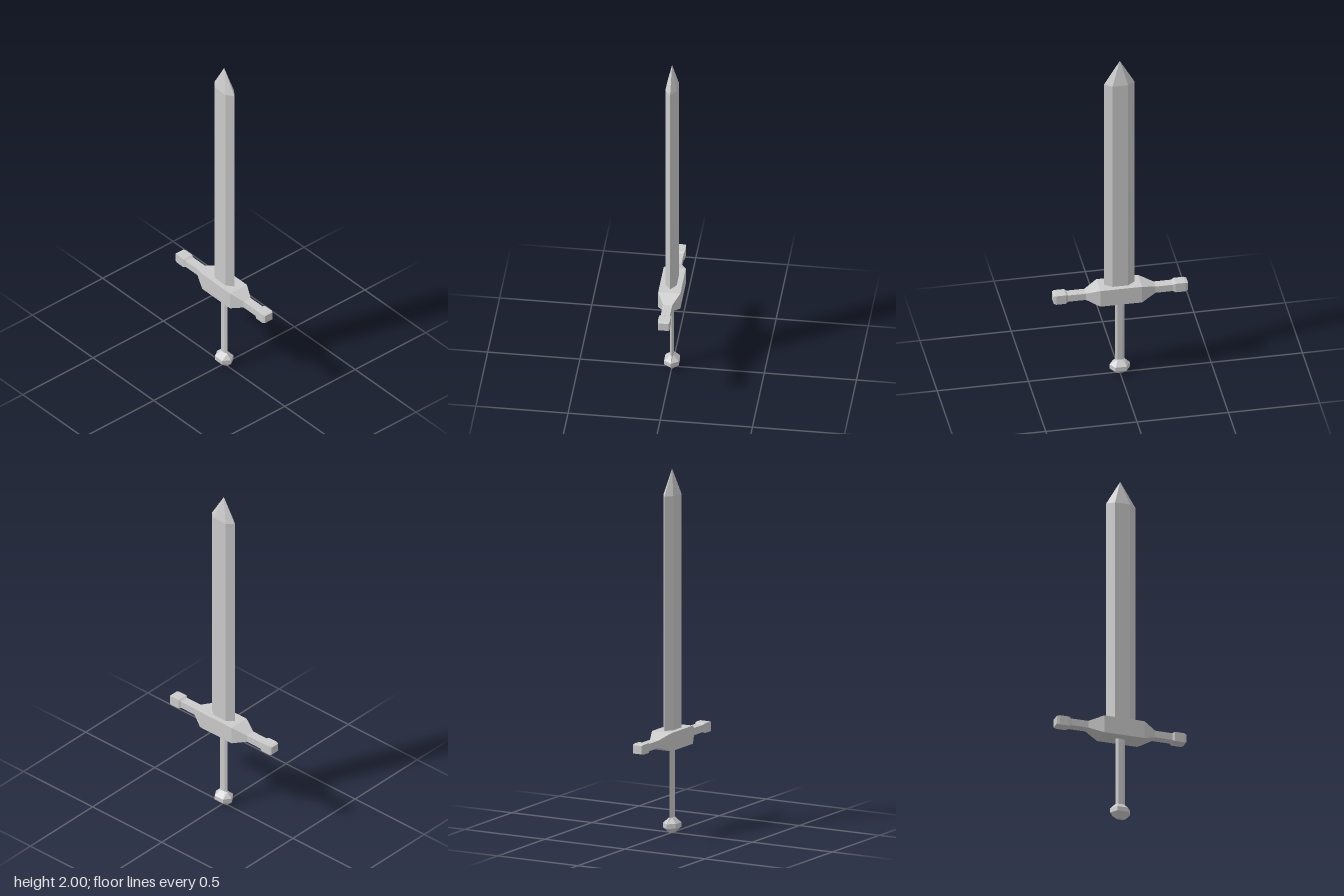
import * as THREE from 'three';

const material = new THREE.MeshStandardMaterial({ color: 0xcccccc, flatShading: true });

// Skins a list of equal-length rings (counter-clockwise around the loft axis) and caps both ends.
function loft(name, rings) {
  const n = rings[0].length;
  const last = (rings.length - 1) * n;
  const index = [];
  for (let i = 0; i < rings.length - 1; i++) {
    for (let j = 0; j < n; j++) {
      const a = i * n + j, b = i * n + (j + 1) % n;
      index.push(a, b, b + n, a, b + n, a + n);
    }
  }
  for (let j = 1; j < n - 1; j++) {
    index.push(0, j + 1, j, last, last + j, last + j + 1);
  }
  const indexed = new THREE.BufferGeometry();
  indexed.setAttribute('position', new THREE.Float32BufferAttribute(rings.flat(2), 3));
  indexed.setIndex(index);
  const geometry = indexed.toNonIndexed();
  geometry.computeVertexNormals();
  const mesh = new THREE.Mesh(geometry, material);
  mesh.name = name;
  return mesh;
}

// Flattened hexagon at height y: half width, half width of the flat, half depth, x offset.
const hexRing = ([y, w, f, d, cx = 0]) =>
  [[w, 0], [f, -d], [-f, -d], [-w, 0], [-f, d], [f, d]].map(([x, z]) => [cx + x, y, z]);

// Rectangle across the crossguard at x: half height, half depth.
const boxRing = ([x, h, d]) =>
  [[-h, -d], [h, -d], [h, d], [-h, d]].map(([y, z]) => [x, 0.522 + y, z]);

export function createModel() {
  const sword = new THREE.Group();
  sword.name = 'sword';

  // Hexagonal blade closing to a point
  sword.add(loft('blade', [
    [0.56, 0.083, 0.043, 0.031, 0.003],
    [1.86, 0.083, 0.043, 0.031, 0.003],
    [2.0, 0.0005, 0.0003, 0.0003],
  ].map(hexRing)));

  // Crossguard: thick centre, slim arms, knobbed ends
  sword.add(loft('crossguard', [
    [-0.369, 0.023, 0.027],
    [-0.354, 0.027, 0.031],
    [-0.300, 0.027, 0.031],
    [-0.286, 0.020, 0.026],
    [-0.190, 0.020, 0.026],
    [-0.111, 0.050, 0.060],
    [0.118, 0.050, 0.060],
    [0.190, 0.020, 0.025],
    [0.288, 0.020, 0.025],
    [0.300, 0.027, 0.032],
    [0.354, 0.027, 0.032],
    [0.367, 0.023, 0.027],
  ].map(boxRing)));

  // Thin grip
  sword.add(loft('grip', [
    [0.07, 0.027, 0.014, 0.009],
    [0.48, 0.027, 0.014, 0.009],
  ].map(hexRing)));

  // Faceted pommel
  sword.add(loft('pommel', [
    [0, 0.027, 0.014, 0.009],
    [0.03, 0.057, 0.03, 0.04],
    [0.055, 0.057, 0.03, 0.04],
    [0.085, 0.027, 0.014, 0.009],
  ].map(hexRing)));

  return sword;
}
